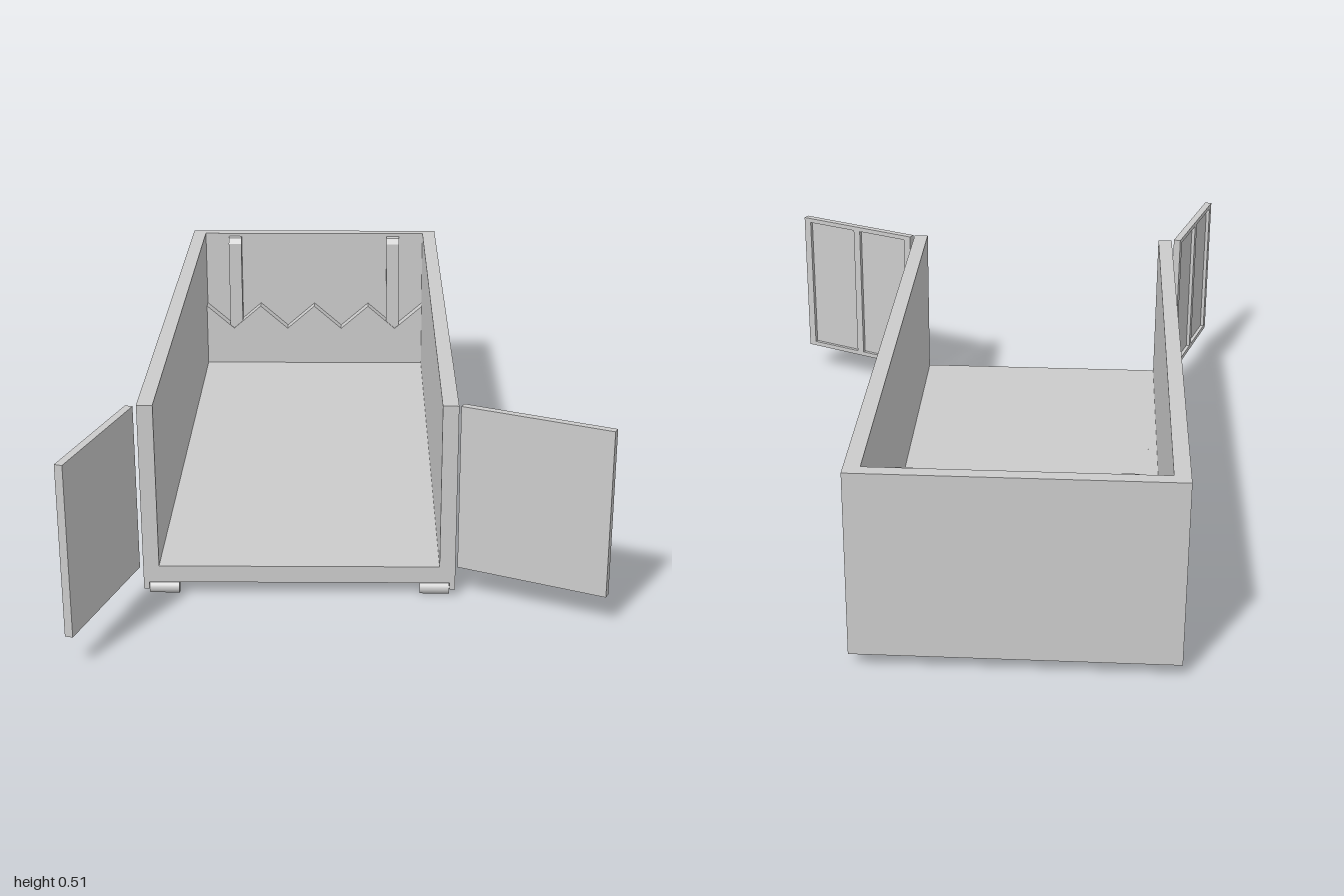
import * as THREE from 'three';

const CX = -0.115;            // container centre line
const HALF = 0.395;           // outer half width
const INNER = 0.355;          // inner half width
const TOP = 0.515, BASE = 0.035, FLOOR = 0.08;
const FRONT = 0.62, BACK = -1;

const material = new THREE.MeshStandardMaterial({ color: 0xcccccc });

function add(parent, name, geometry) {
  const mesh = new THREE.Mesh(geometry, material);
  mesh.name = name;
  parent.add(mesh);
  return mesh;
}

// Box given by its limits on each axis
function box(parent, name, [x0, x1], [y0, y1], [z0, z1]) {
  const mesh = add(parent, name, new THREE.BoxGeometry(Math.abs(x1 - x0), y1 - y0, z1 - z0));
  mesh.position.set((x0 + x1) / 2, (y0 + y1) / 2, (z0 + z1) / 2);
  return mesh;
}

// Outline in x/y swept along z
function sweep(parent, name, points, z0, z1) {
  const shape = new THREE.Shape(points.map(([x, y]) => new THREE.Vector2(x, y)));
  const geometry = new THREE.ExtrudeGeometry(shape, { depth: z1 - z0, bevelEnabled: false });
  geometry.translate(0, 0, z0);
  return add(parent, name, geometry);
}

// Vertical bar with a chamfered outer face; plan outline in x/z swept along y
function upright(parent, name, points, y0, y1) {
  const shape = new THREE.Shape(points.map(([x, z]) => new THREE.Vector2(x, -z)));
  const geometry = new THREE.ExtrudeGeometry(shape, { depth: y1 - y0, bevelEnabled: false });
  geometry.rotateX(-Math.PI / 2).translate(0, y0, 0);
  return add(parent, name, geometry);
}

// Door hinged at its group origin, running along local s * x, with its ribs on local -z
function door(parent, name, s, x, z, angle) {
  const group = new THREE.Group();
  group.name = name;
  group.position.set(x, 0, z);
  group.rotation.y = angle;
  parent.add(group);
  const L = 0.39, y0 = FLOOR, t = 0.01, b = 0.022;
  box(group, 'doorPanel', [0, s * L], [y0, TOP], [0, t]);
  for (const u of [0, L / 2 - b / 2, L - b]) {
    box(group, 'doorUpright', [s * u, s * (u + b)], [y0, TOP], [-t, 0]);
  }
  for (const y of [y0, TOP - b * 0.6]) {
    box(group, 'doorRail', [s * b, s * (L - b)], [y, y + b * 0.6], [-t, 0]);
  }
}

export function createModel() {
  const model = new THREE.Group();
  model.name = 'openContainer';
  const body = new THREE.Group();
  body.name = 'body';
  body.position.x = CX;
  model.add(body);

  // Floor, end wall and front sill
  box(body, 'floor', [-0.33, 0.33], [0.047, FLOOR], [-0.965, 0.6]);
  box(body, 'backWall', [-HALF, HALF], [BASE, TOP], [BACK, -0.965]);
  box(body, 'frontSill', [-INNER, INNER], [BASE, FLOOR], [0.585, FRONT]);

  const ribs = [];
  for (let i = 1; i <= 7; i++) ribs.push(0.607 - i * 0.1985);

  for (const s of [-1, 1]) {
    // Side skin with sloped lower edge, stiffening swage and top rail
    const skin = [[INNER, FLOOR], [0.33, FLOOR], [0.33, 0.047], [0.366, 0.082], [0.366, 0.48], [INNER, 0.48]];
    const swage = [[0.36, 0.285], [0.366, 0.285], [0.383, 0.297], [0.383, 0.343], [0.366, 0.358], [0.36, 0.358]];
    const flip = (pts) => pts.map(([x, y]) => [s * x, y]);
    sweep(body, 'sidePanel', flip(skin), -0.97, 0.59);
    sweep(body, 'sideSwage', flip(swage), -0.97, 0.59);
    box(body, 'topRail', [s * INNER, s * HALF], [0.48, TOP], [-0.965, 0.59]);
    box(body, 'frontPost', [s * INNER, s * HALF], [BASE, TOP], [0.585, FRONT]);

    // Side ribs
    for (const z of ribs) {
      const plan = [[0.358, -0.02], [0.386, -0.02], [HALF, -0.013], [HALF, 0.013], [0.386, 0.02], [0.358, 0.02]];
      upright(body, 'sideRib', plan.map(([x, dz]) => [s * x, z + dz]), BASE, 0.485);
    }

    // Floor roller with its bracket
    const roller = add(body, 'roller', new THREE.CylinderGeometry(0.0165, 0.0165, 0.075, 24));
    roller.rotation.z = Math.PI / 2;
    roller.position.set(s * 0.343, 0.0165, 0.605);
    box(body, 'rollerBracket', [s * 0.381, s * HALF], [0.016, BASE], [0.59, FRONT]);

    // Upright on the inside of the end wall, sloped at its top
    const side = [[-0.966, 0.2], [-0.932, 0.2], [-0.932, 0.488], [-0.942, 0.505], [-0.966, 0.505]];
    const shape = new THREE.Shape(side.map(([z, y]) => new THREE.Vector2(-z, y)));
    const post = new THREE.ExtrudeGeometry(shape, { depth: 0.041, bevelEnabled: false });
    post.rotateY(Math.PI / 2).translate(s * 0.258 - 0.0205, 0, 0);
    add(body, 'innerPost', post);
  }

  // Cross members under the floor
  for (const z of ribs) {
    box(body, 'crossMember', [-0.36, 0.36], [BASE, 0.06], [z - 0.02, z + 0.02]);
  }

  // Toothed plate at the foot of the end wall
  const teeth = [[-INNER, FLOOR - 0.005], [INNER, FLOOR - 0.005]];
  for (let i = 8; i >= 0; i--) teeth.push([-INNER + (i * INNER) / 4, i % 2 ? 0.2 : 0.277]);
  sweep(body, 'toothedPlate', teeth, -0.966, -0.928);

  // Open doors
  door(model, 'leftDoor', 1, 0.289, 0.612, -0.435);
  door(model, 'rightDoor', -1, -0.527, 0.624, 1.277);

  return model;
}
